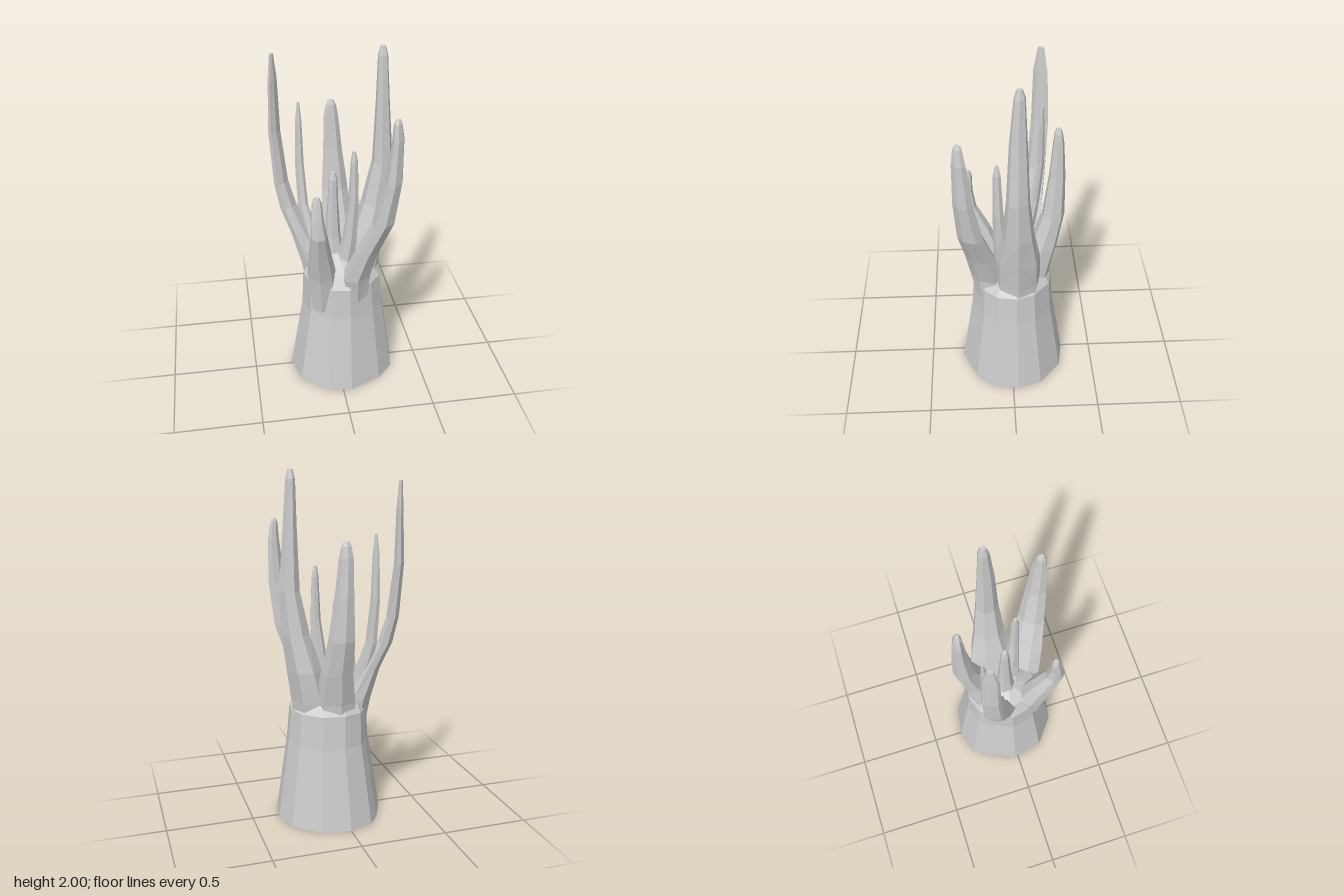
import * as THREE from 'three';

const material = new THREE.MeshStandardMaterial({
  color: 0xcccccc, flatShading: true, side: THREE.DoubleSide,
});

// Skin a stack of equal-sized rings, listed bottom to top; the last ring is closed
function loft(rings) {
  const n = rings[0].length, index = [];
  for (let r = 0; r < rings.length - 1; r++) {
    for (let i = 0; i < n; i++) {
      const a = r * n + i, b = r * n + (i + 1) % n;
      index.push(a, a + n, b, b, a + n, b + n);
    }
  }
  const top = (rings.length - 1) * n;
  for (let i = 1; i < n - 1; i++) index.push(top, top + i + 1, top + i);
  const geometry = new THREE.BufferGeometry();
  geometry.setAttribute('position', new THREE.Float32BufferAttribute(rings.flat(2), 3));
  geometry.setIndex(index);
  geometry.computeVertexNormals();
  return geometry;
}

// Uneven foot outline of the trunk: x, z
const foot = [
  [0, -0.32], [0.165, -0.295], [0.305, -0.17], [0.35, -0.03], [0.325, 0.12], [0.235, 0.22],
  [0.05, 0.305], [-0.08, 0.285], [-0.235, 0.165], [-0.275, -0.02], [-0.2, -0.19], [-0.14, -0.27],
];
// Trunk levels: y, scale of the foot outline, centre x
const levels = [[0, 1, 0.035], [0.47, 0.77, 0.04], [0.66, 0.73, 0.035], [0.74, 0.56, 0.025], [0.81, 0.2, 0]];

// Each prong leans along dir; sections: y, x, z, half depth along dir, half width across it
const prongs = {
  rightTallProng: { dir: [1, 0], sections: [
    [0.55, 0.15, -0.03, 0.1, 0.11], [0.72, 0.15, -0.03, 0.115, 0.135], [0.9, 0.19, -0.03, 0.1, 0.13],
    [1.1, 0.235, -0.03, 0.08, 0.09], [1.35, 0.267, -0.025, 0.058, 0.065], [1.7, 0.26, -0.025, 0.038, 0.048],
    [1.95, 0.255, -0.03, 0.027, 0.03], [2, 0.255, -0.03, 0.014, 0.015]] },
  frontRightProng: { dir: [0.8, 0.6], sections: [
    [0.55, 0.1, 0.12, 0.08, 0.09], [0.72, 0.1, 0.14, 0.08, 0.11], [0.9, 0.155, 0.18, 0.065, 0.1],
    [1.1, 0.23, 0.23, 0.06, 0.08], [1.35, 0.27, 0.262, 0.045, 0.06], [1.6, 0.28, 0.275, 0.03, 0.042],
    [1.69, 0.275, 0.277, 0.02, 0.027], [1.71, 0.275, 0.277, 0.011, 0.016]] },
  backLeftProng: { dir: [-0.86, -0.51], sections: [
    [0.55, -0.1, -0.07, 0.06, 0.08], [0.72, -0.12, -0.08, 0.07, 0.1], [0.9, -0.19, -0.11, 0.045, 0.085],
    [1.05, -0.255, -0.14, 0.042, 0.068], [1.2, -0.29, -0.16, 0.035, 0.06], [1.5, -0.315, -0.178, 0.027, 0.055],
    [1.8, -0.315, -0.175, 0.018, 0.045], [1.94, -0.317, -0.175, 0.009, 0.018]] },
  backProng: { dir: [0, -1], sections: [
    [0.55, 0.03, -0.13, 0.09, 0.1], [0.72, 0.03, -0.13, 0.1, 0.12], [0.9, 0.04, -0.185, 0.08, 0.095],
    [1.1, 0.03, -0.235, 0.064, 0.078], [1.35, 0.02, -0.25, 0.045, 0.055], [1.55, 0.012, -0.252, 0.03, 0.042],
    [1.61, 0.012, -0.25, 0.022, 0.03], [1.635, 0.012, -0.25, 0.012, 0.016]] },
  frontLeftProng: { dir: [-0.24, 0.97], sections: [
    [0.5, -0.09, 0.11, 0.08, 0.07], [0.72, -0.1, 0.13, 0.09, 0.085], [0.9, -0.12, 0.19, 0.075, 0.065],
    [1.05, -0.13, 0.25, 0.055, 0.045], [1.15, -0.14, 0.25, 0.036, 0.036], [1.25, -0.14, 0.24, 0.024, 0.027],
    [1.28, -0.14, 0.24, 0.014, 0.016]] },
  thinBackProng: { dir: [-0.7, -0.7], sections: [
    [0.65, -0.08, -0.06, 0.06, 0.05], [0.85, -0.125, -0.1, 0.05, 0.035], [1.05, -0.17, -0.145, 0.035, 0.025],
    [1.3, -0.182, -0.172, 0.028, 0.022], [1.55, -0.182, -0.175, 0.02, 0.016], [1.66, -0.18, -0.177, 0.007, 0.007]] },
  innerFrontProng: { dir: [0.8, 0.6], sections: [
    [0.7, 0.04, 0.04, 0.06, 0.06], [0.9, 0.07, 0.06, 0.045, 0.045], [1.15, 0.09, 0.075, 0.03, 0.032],
    [1.4, 0.09, 0.08, 0.02, 0.023], [1.46, 0.088, 0.08, 0.01, 0.01]] },
  centreProng: { dir: [1, 0], sections: [
    [0.74, -0.01, -0.01, 0.07, 0.07], [0.9, -0.015, -0.01, 0.045, 0.045], [1.1, -0.015, -0.01, 0.032, 0.032],
    [1.26, -0.013, -0.01, 0.025, 0.025], [1.3, -0.013, -0.01, 0.014, 0.014]] },
};

function prongGeometry({ dir: [dx, dz], sections }) {
  const sides = 7;
  return loft(sections.map(([y, x, z, depth, width]) =>
    Array.from({ length: sides }, (_, i) => {
      const a = -(i / sides) * Math.PI * 2;
      const u = Math.cos(a) * depth, v = Math.sin(a) * width;
      return [x + dx * u + dz * v, y, z + dz * u - dx * v];
    })));
}

export function createModel() {
  const group = new THREE.Group();
  const add = (name, geometry) => {
    const mesh = new THREE.Mesh(geometry, material);
    mesh.name = name;
    group.add(mesh);
  };

  // Hollow trunk, open at the foot
  add('trunk', loft(levels.map(([y, s, cx]) =>
    foot.map(([x, z]) => [cx + (x - 0.035) * s, y, z * s]).reverse())));

  // Prongs growing out of the trunk
  for (const [name, prong] of Object.entries(prongs)) add(name, prongGeometry(prong));
  return group;
}
